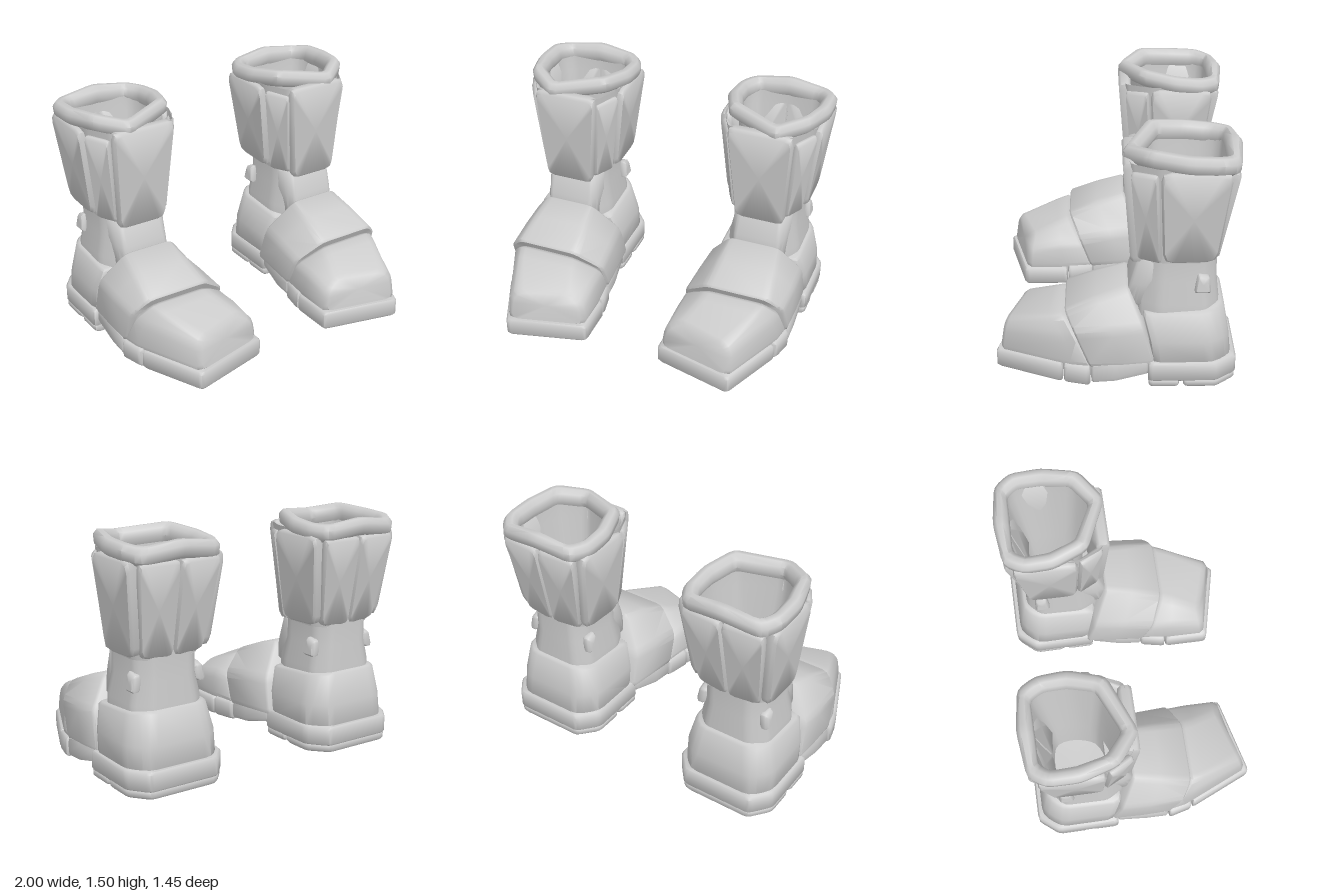
import * as THREE from 'three';
import { toCreasedNormals } from 'three/addons/utils/BufferGeometryUtils.js';

const V = (p) => new THREE.Vector3(...p);
const centre = (ring) => ring.reduce((c, p) => c.add(p), new THREE.Vector3()).divideScalar(ring.length);
const toward = (p, q, d) => p.clone().lerp(q, Math.min(d / Math.max(p.distanceTo(q), 1e-6), 0.45));
const inset = (ring, d) => { const c = centre(ring); return ring.map((p) => toward(p, c, d)); };
const level = (y, pts) => pts.map(([x, z]) => [x, y, z]);

// Replace every corner of a ring with a short three-point curve
function soften(ring, r) {
  const n = ring.length;
  return ring.flatMap((p, i) => {
    const a = toward(p, ring[(i + n - 1) % n], r), b = toward(p, ring[(i + 1) % n], r);
    const m = a.clone().add(b).multiplyScalar(0.25).addScaledVector(p, 0.5);
    return [a, m, b];
  });
}

// Skin a list of rings; solid ends get a bevelled cap, 'loop' joins last ring to first
function loft(rings, { bevel = 0.015, open = false, loop = false } = {}) {
  if (!open && !loop) {
    const n = rings.length;
    const end = (r, next) => [inset(r, bevel), r.map((p, i) => toward(p, next[i], bevel))];
    rings = [...end(rings[0], rings[1]), ...rings.slice(1, -1), ...end(rings[n - 1], rings[n - 2]).reverse()];
  }
  const m = rings[0].length, pts = rings.flat(), index = [];
  const count = loop ? rings.length : rings.length - 1;
  for (let j = 0; j < count; j++) for (let i = 0; i < m; i++) {
    const k = (i + 1) % m, a = j * m, b = ((j + 1) % rings.length) * m;
    index.push(a + i, a + k, b + k, a + i, b + k, b + i);
  }
  if (!open && !loop) {
    const last = (rings.length - 1) * m, c = pts.length;
    pts.push(centre(rings[0]), centre(rings[rings.length - 1]));
    for (let i = 0; i < m; i++) {
      const k = (i + 1) % m;
      index.push(c, k, i, c + 1, last + i, last + k);
    }
  }
  // Turn the faces outward whichever way the rings run
  const mid = centre(pts);
  let volume = 0;
  for (let i = 0; i < index.length; i += 3) {
    const [a, b, c] = [0, 1, 2].map((k) => pts[index[i + k]].clone().sub(mid));
    volume += a.dot(b.cross(c));
  }
  if (volume < 0) index.reverse();
  const geo = new THREE.BufferGeometry().setFromPoints(pts);
  geo.setIndex(index);
  return toCreasedNormals(geo, 0.85);
}

function buildBoot(side, name) {
  const boot = new THREE.Group();
  boot.name = name;
  const solid = new THREE.MeshStandardMaterial({ color: 0xcccccc });
  const thin = new THREE.MeshStandardMaterial({ color: 0xcccccc, side: THREE.DoubleSide });
  const toRing = (pts, r) => soften(pts.map(([x, y, z]) => V([x * side, y, z])), r);
  const add = (part, geo, mat = solid) => {
    const mesh = new THREE.Mesh(geo, mat);
    mesh.name = part;
    boot.add(mesh);
  };
  const part = (label, rings, r = 0.03, opts = {}) =>
    add(label, loft(rings.map((q) => toRing(q, r)), opts), opts.open ? thin : solid);
  const slab = (label, y0, y1, plan, r = 0.025) => part(label, [level(y0, plan), level(y1, plan)], r);

  // Soles
  slab('toeSole', 0.01, 0.13, [[0.25, 0.315], [0.247, 0.605], [0.76, 0.73], [0.94, 0.315]]);
  slab('ballSole', 0.01, 0.135, [[0.285, 0.14], [0.25, 0.31], [0.945, 0.31], [0.985, 0.15]]);
  part('archSole', [
    [[0.29, 0.02, 0.145], [0.975, 0.02, 0.145], [0.975, 0.145, 0.145], [0.29, 0.145, 0.145]],
    [[0.3, 0.03, 0], [0.975, 0.03, 0], [0.975, 0.16, 0], [0.3, 0.16, 0]],
    [[0.33, 0.08, -0.2], [0.97, 0.08, -0.2], [0.97, 0.18, -0.2], [0.33, 0.18, -0.2]],
  ]);
  slab('heelSole', 0.045, 0.17,
    [[0.325, -0.195], [0.325, -0.6], [0.43, -0.725], [0.9, -0.725], [0.997, -0.6], [0.997, -0.195]]);
  slab('heelTreadFront', 0.003, 0.06, [[0.33, -0.198], [0.33, -0.38], [0.992, -0.38], [0.992, -0.198]]);
  slab('heelTreadBack', 0.003, 0.06,
    [[0.33, -0.405], [0.33, -0.6], [0.435, -0.72], [0.895, -0.72], [0.992, -0.6], [0.992, -0.405]]);

  // Foot armour, in arched sections from back to front
  part('toeCap', [
    [[0.29, 0.12, 0.13], [0.295, 0.3, 0.21], [0.46, 0.43, 0.3], [0.85, 0.43, 0.3], [0.94, 0.33, 0.23], [0.965, 0.12, 0.13]],
    [[0.265, 0.12, 0.35], [0.29, 0.3, 0.36], [0.44, 0.4, 0.38], [0.82, 0.405, 0.4], [0.905, 0.31, 0.31], [0.945, 0.12, 0.26]],
    [[0.262, 0.12, 0.585], [0.28, 0.26, 0.575], [0.37, 0.335, 0.55], [0.7, 0.335, 0.655], [0.745, 0.29, 0.68], [0.755, 0.12, 0.705]],
  ], 0.04, { bevel: 0.025 });
  part('instepPlate', [
    [[0.31, 0.14, -0.24], [0.33, 0.38, -0.18], [0.49, 0.6, -0.075], [0.82, 0.6, -0.075], [0.965, 0.4, -0.17], [0.97, 0.14, -0.24]],
    [[0.295, 0.13, -0.05], [0.31, 0.36, 0.02], [0.475, 0.54, 0.11], [0.84, 0.54, 0.11], [0.965, 0.38, 0.03], [0.975, 0.13, -0.05]],
    [[0.28, 0.12, 0.15], [0.29, 0.33, 0.23], [0.455, 0.46, 0.305], [0.86, 0.46, 0.305], [0.955, 0.36, 0.245], [0.972, 0.12, 0.15]],
  ], 0.04);
  part('heelCap', [
    [[0.345, 0.15, -0.22], [0.345, 0.15, -0.58], [0.45, 0.15, -0.695], [0.88, 0.15, -0.695], [0.975, 0.15, -0.58], [0.975, 0.15, -0.22]],
    [[0.345, 0.3, -0.2], [0.35, 0.3, -0.57], [0.45, 0.3, -0.68], [0.87, 0.3, -0.68], [0.968, 0.3, -0.57], [0.97, 0.3, -0.2]],
    [[0.4, 0.46, -0.16], [0.4, 0.49, -0.55], [0.48, 0.5, -0.645], [0.84, 0.5, -0.645], [0.93, 0.49, -0.55], [0.93, 0.46, -0.16]],
  ], 0.05);

  // Ankle with its tongue and side tabs
  const ankle = [[0.51, -0.15], [0.455, -0.26], [0.455, -0.52], [0.53, -0.6], [0.79, -0.6], [0.875, -0.52], [0.875, -0.26], [0.81, -0.15]];
  const flare = ankle.map(([x, z]) => [0.66 + (x - 0.66) * 1.14, -0.38 + (z + 0.38) * 1.07]);
  part('ankle', [level(0.42, flare), level(0.52, flare), level(0.66, ankle), level(0.84, ankle)], 0.03, { open: true });
  part('tongue', [
    [[0.48, 0.48, -0.24], [0.48, 0.48, -0.12], [0.52, 0.48, -0.05], [0.8, 0.48, -0.05], [0.84, 0.48, -0.12], [0.84, 0.48, -0.24]],
    [[0.47, 0.62, -0.24], [0.48, 0.62, -0.15], [0.51, 0.62, -0.085], [0.81, 0.62, -0.085], [0.84, 0.62, -0.15], [0.85, 0.62, -0.24]],
    [[0.46, 0.79, -0.24], [0.48, 0.79, -0.18], [0.52, 0.79, -0.135], [0.8, 0.79, -0.135], [0.84, 0.79, -0.18], [0.86, 0.79, -0.24]],
  ], 0.02);
  for (const f of [(x) => x, (x) => 1.32 - x]) {
    part('ankleTab', [0.84, 0.9].map((x, i) => [
      [f(x + 0.015), 0.6, -0.46], [f(x + 0.015), 0.6, -0.56], [f(x), 0.7, -0.55], [f(x), 0.72, -0.48]]), 0.015);
  }

  // Shaft core
  const shaftLow = [[0.5, -0.13], [0.44, -0.27], [0.44, -0.52], [0.5, -0.585], [0.82, -0.585], [0.885, -0.52], [0.885, -0.27], [0.82, -0.13]];
  const shaftTop = [[0.44, -0.08], [0.365, -0.25], [0.365, -0.6], [0.44, -0.675], [0.88, -0.675], [0.955, -0.6], [0.955, -0.25], [0.86, -0.08]];
  part('shaft', [level(0.79, ankle), level(0.79, shaftLow), level(1.41, shaftTop)], 0.03, { open: true });

  // Raised panels around the shaft
  const panel = (label, corners, depth = 0.06, r = 0.045) => {
    const face = corners.map(V), n = face[1].clone().sub(face[0]).cross(face[3].clone().sub(face[0])).normalize();
    const out = centre(face).sub(V([0.66, 1.1, -0.38]));
    if (n.dot(out) < 0) n.negate();
    const back = face.map((p) => p.clone().addScaledVector(n, -depth));
    part(label, [back, face].map((q) => q.map((p) => p.toArray())), r, { bevel: 0.018 });
  };
  panel('frontPanel', [[0.505, 0.75, -0.09], [0.825, 0.75, -0.09], [0.86, 1.41, -0.04], [0.44, 1.41, -0.04]], 0.08);
  for (const f of [(x) => x, (x) => 1.32 - x]) {
    panel('sidePanel', [[f(0.925), 0.8, -0.275], [f(0.925), 0.81, -0.585], [f(0.99), 1.39, -0.655], [f(0.993), 1.39, -0.25]], 0.07, 0.06);
    panel('cornerPanel', [[f(0.84), 0.79, -0.125], [f(0.905), 0.79, -0.255], [f(0.975), 1.37, -0.225], [f(0.89), 1.36, -0.08]], 0.05, 0.02);
    panel('backPanel', [[f(0.87), 0.8, -0.595], [f(0.665), 0.79, -0.612], [f(0.665), 1.37, -0.715], [f(0.935), 1.37, -0.7]], 0.06, 0.04);
  }

  // Padded collar: a wavy rim swept through a rounded section
  const rim = [
    [0.4, 1.46, -0.7], [0.335, 1.46, -0.59], [0.33, 1.48, -0.4], [0.41, 1.51, -0.18], [0.75, 1.47, -0.035],
    [0.935, 1.51, -0.17], [1.0, 1.49, -0.4], [0.995, 1.48, -0.6], [0.925, 1.46, -0.7], [0.66, 1.495, -0.73],
  ];
  const rimRing = toRing(rim, 0.04);
  const section = (d, h) => inset(rimRing, d).map((p) => p.setY(p.y + h));
  add('collar', loft([[0.035, -0.11], [0.005, -0.085], [0, -0.035], [0.025, -0.004], [0.06, 0], [0.09, -0.025], [0.1, -0.07], [0.08, -0.11]]
    .map(([d, h]) => section(d, h)), { loop: true }));

  // Hollow inside of the shaft, down to the insole
  const hollow = (y, kx, kz) => rim.map(([x, , z]) => [0.66 + (x - 0.66) * kx, y, -0.38 + (z + 0.38) * kz]);
  part('lining', [
    rim.map(([x, y, z]) => [0.66 + (x - 0.66) * 0.78, y - 0.06, -0.38 + (z + 0.38) * 0.78]),
    hollow(1.3, 0.76, 0.76), hollow(0.82, 0.55, 0.56), hollow(0.53, 0.5, 0.52), hollow(0.52, 0.02, 0.02),
  ], 0.04, { open: true });
  return boot;
}

export function createModel() {
  const model = new THREE.Group();
  model.name = 'boots';
  model.add(buildBoot(1, 'leftBoot'), buildBoot(-1, 'rightBoot'));
  return model;
}
